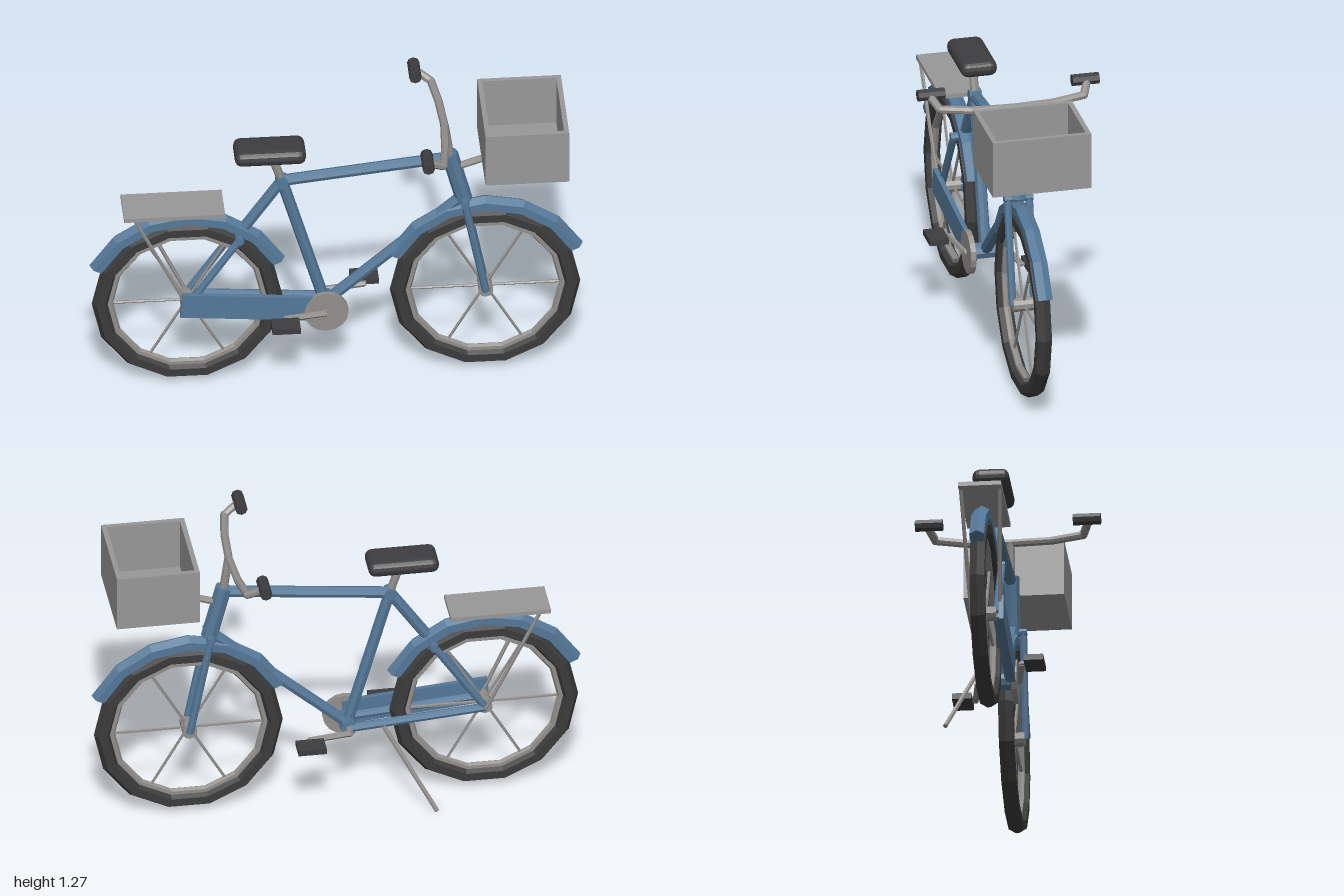
import * as THREE from 'three';
import { RoundedBoxGeometry } from 'three/addons/geometries/RoundedBoxGeometry.js';

const mat = (name, color) => {
  const m = new THREE.MeshStandardMaterial({ color });
  m.name = name;
  m.flatShading = true;
  return m;
};

export function createModel() {
  const blue = mat('framePaint', 0x547898);
  const metal = mat('metal', 0x918e8b);
  const grey = mat('basketGrey', 0x989898);
  const rubber = mat('tyreRubber', 0x3c3b3c);
  const dark = mat('darkGrip', 0x3d3c3f);

  const bike = new THREE.Group();
  bike.name = 'bicycle';
  const V = (p) => new THREE.Vector3(...p);
  const add = (name, geo, material, pos = [0, 0, 0], parent = bike) => {
    const m = new THREE.Mesh(geo, material);
    m.name = name;
    m.position.set(...pos);
    parent.add(m);
    return m;
  };
  // Straight round bar between two points
  const bar = (name, a, b, r, material, parent = bike, sides = 8) => {
    const dir = V(b).sub(V(a));
    const m = add(name, new THREE.CylinderGeometry(r, r, dir.length(), sides), material,
      V(a).add(V(b)).multiplyScalar(0.5).toArray(), parent);
    m.quaternion.setFromUnitVectors(new THREE.Vector3(0, 1, 0), dir.normalize());
    return m;
  };

  const rear = [-0.61, 0.4], front = [0.6, 0.4], crankAxis = [-0.05, 0.355];

  // Wheels with tyre, rim, hub, spokes and mudguard
  const wheel = (name, [x, y]) => {
    const g = new THREE.Group();
    g.name = name;
    g.position.set(x, y, 0);
    bike.add(g);
    add('tyre', new THREE.TorusGeometry(0.352, 0.035, 6, 14), rubber, [0, 0, 0], g);
    add('rim', new THREE.TorusGeometry(0.315, 0.015, 6, 14), metal, [0, 0, 0], g);
    bar('hub', [0, 0, -0.045], [0, 0, 0.045], 0.03, metal, g, 10);
    for (let i = 0; i < 6; i++) {
      const a = i * Math.PI / 3;
      bar('spoke', [0, 0, 0], [0.31 * Math.cos(a), 0.31 * Math.sin(a), 0], 0.006, metal, g, 5);
    }
    // Mudguard arc with closed ends
    const R = 0.405, start = THREE.MathUtils.degToRad(25.5), arc = Math.PI - 2 * start;
    const guard = new THREE.Group();
    guard.name = 'mudguard';
    g.add(guard);
    add('mudguardArc', new THREE.TorusGeometry(R, 0.035, 6, 6, arc).rotateZ(start), blue, [0, 0, 0], guard);
    for (const [turn, angle] of [[1, start], [-1, start + arc]]) {
      add('mudguardEnd', new THREE.CircleGeometry(0.035, 6).rotateX(turn * Math.PI / 2)
        .translate(R, 0, 0).rotateZ(angle), blue, [0, 0, 0], guard);
    }
  };
  wheel('rearWheel', rear);
  wheel('frontWheel', front);

  // Frame
  const seatTop = [-0.225, 0.965, 0], headTop = [0.455, 1.06, 0], headBottom = [0.515, 0.83, 0];
  const bottom = [...crankAxis, 0], stayBridge = [-0.4, 0.71];
  bar('seatTube', bottom, seatTop, 0.024, blue);
  bar('topTube', seatTop, [0.46, 1.04, 0], 0.024, blue);
  bar('downTube', bottom, [0.5, 0.84, 0], 0.024, blue);
  bar('headTube', headTop, headBottom, 0.035, blue);
  bar('bottomBracket', [...crankAxis, -0.05], [...crankAxis, 0.05], 0.035, blue);
  bar('seatLug', [-0.225, 0.965, -0.025], [-0.225, 0.965, 0.025], 0.026, blue);
  bar('upperSeatStay', seatTop, [...stayBridge, 0], 0.024, blue);
  bar('stayBridge', [...stayBridge, -0.06], [...stayBridge, 0.06], 0.018, blue);
  bar('forkCrown', [0.515, 0.835, -0.06], [0.515, 0.835, 0.06], 0.018, blue);
  for (const s of [-1, 1]) {
    const z = s * 0.045;
    bar('seatStay', [...stayBridge, z], [...rear, z], 0.016, blue);
    bar('chainStay', [...crankAxis, z], [...rear, z], 0.018, blue);
    bar('forkBlade', [0.515, 0.835, z], [...front, z], 0.016, blue);
  }

  // Chain case and chainring
  const chainCase = add('chainCase', new THREE.BoxGeometry(0.6, 0.11, 0.02), blue, [-0.34, 0.39, 0.065]);
  chainCase.rotation.z = -0.085;
  bar('chainring', [...crankAxis, 0.058], [...crankAxis, 0.08], 0.09, metal, bike, 16);
  bar('crankAxle', [...crankAxis, -0.09], [...crankAxis, 0.09], 0.014, metal);

  // Cranks and pedals, half a turn apart
  for (const s of [-1, 1]) {
    bar('crank', [-0.05, 0.355, s * 0.085], [-0.05 - s * 0.17, 0.355, s * 0.11], 0.013, metal, bike, 6);
    bar('pedalAxle', [-0.05 - s * 0.17, 0.355, s * 0.1], [-0.05 - s * 0.17, 0.355, s * 0.14], 0.008, metal, bike, 6);
    add('pedal', new THREE.BoxGeometry(0.115, 0.025, 0.08), dark, [-0.05 - s * 0.172, 0.355, s * 0.162]);
  }

  // Kickstand
  bar('kickstand', [-0.19, 0.36, -0.06], [-0.39, 0.01, -0.185], 0.01, metal, bike, 6);

  // Saddle and post
  bar('seatPost', seatTop, [-0.27, 1.1, 0], 0.018, metal);
  add('saddle', new RoundedBoxGeometry(0.29, 0.065, 0.15, 2, 0.03), dark, [-0.275, 1.113, 0]);

  // Stem, handlebar and grips
  bar('stem', headTop, [0.435, 1.2, 0], 0.018, metal);
  const half = [[0.435, 1.2, 0], [0.425, 1.2, 0.17], [0.405, 1.21, 0.3], [0.34, 1.25, 0.33]];
  for (const s of [-1, 1]) {
    const pts = half.map(([x, y, z]) => [x, y, s * z]);
    for (let i = 0; i < 3; i++) {
      bar('handlebar', pts[i], pts[i + 1], 0.017, metal);
      add('handlebarJoint', new THREE.IcosahedronGeometry(0.017, 1), metal, pts[i]);
    }
    bar('grip', [0.34, 1.25, s * 0.265], [0.34, 1.25, s * 0.377], 0.025, dark);
  }

  // Open basket: floor and four walls on a bracket
  const basket = new THREE.Group();
  basket.name = 'basket';
  basket.position.set(0.755, 1.035, 0);
  bike.add(basket);
  add('basketFloor', new THREE.BoxGeometry(0.34, 0.02, 0.41), grey, [0, 0.01, 0], basket);
  for (const s of [-1, 1]) {
    add('basketEndWall', new THREE.BoxGeometry(0.02, 0.22, 0.41), grey, [s * 0.16, 0.13, 0], basket);
    add('basketSideWall', new THREE.BoxGeometry(0.3, 0.22, 0.02), grey, [0, 0.13, s * 0.195], basket);
  }
  bar('basketBracket', [0.48, 0.99, 0], [0.63, 1.04, 0], 0.015, metal);

  // Rear rack with two struts
  add('rearRack', new THREE.BoxGeometry(0.41, 0.018, 0.175), grey, [-0.667, 0.862, 0]);
  for (const s of [-1, 1]) {
    bar('rackStrut', [-0.83, 0.86, s * 0.08], [-0.61, 0.4, s * 0.058], 0.008, metal, bike, 6);
  }
  return bike;
}
